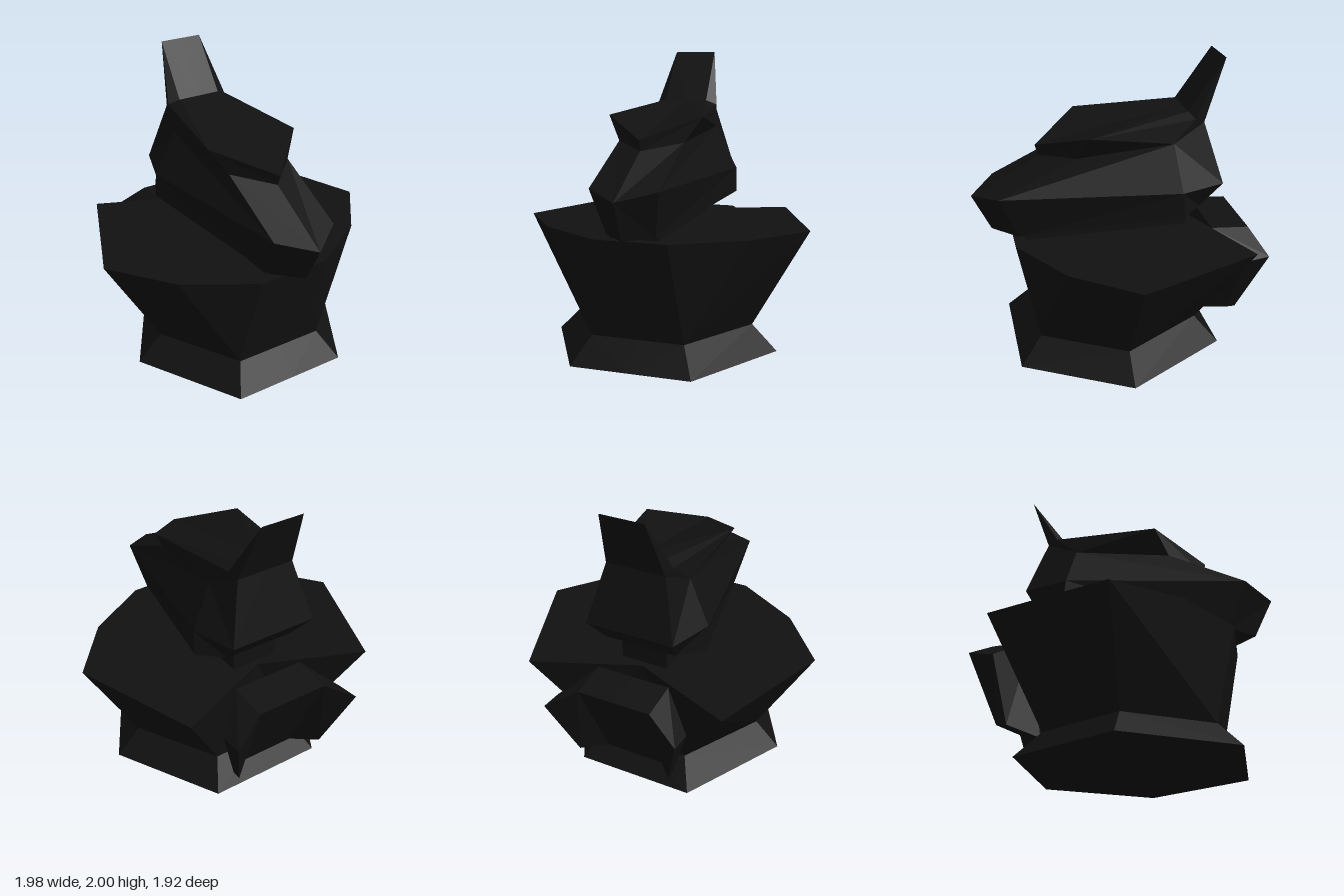
import * as THREE from 'three';

const material = new THREE.MeshStandardMaterial({ color: 0x111111, flatShading: true });

// Faceted symmetric solid: faces are listed for the +x half, mirrored to -x,
// and each one is turned to point away from the (mirrored) centre.
function solid(name, [cx, cy, cz], points, faces) {
  const pos = [];
  for (const face of faces) {
    for (const side of [1, -1]) {
      const centre = new THREE.Vector3(cx * side, cy, cz);
      const loop = face.split(' ').map((k) => {
        const [x, y, z] = points[k];
        return new THREE.Vector3(x * side, y, z);
      });
      for (let i = 1; i < loop.length - 1; i++) {
        const tri = [loop[0], loop[i], loop[i + 1]];
        const plane = new THREE.Plane().setFromCoplanarPoints(...tri);
        if (plane.distanceToPoint(centre) > 0) tri.reverse();
        tri.forEach((p) => pos.push(p.x, p.y, p.z));
      }
    }
  }
  const geometry = new THREE.BufferGeometry();
  geometry.setAttribute('position', new THREE.Float32BufferAttribute(pos, 3));
  geometry.computeVertexNormals();
  const mesh = new THREE.Mesh(geometry, material);
  mesh.name = name;
  return mesh;
}

export function createModel() {
  const model = new THREE.Group();
  model.name = 'bust';

  // Flared hexagonal base, narrow waist and wide shoulders
  model.add(solid('torso', [0, 0.25, 0.04], {
    under: [0, 0, 0.04],
    b0: [0, 0.03, 0.73], b1: [0.4, 0.03, 0.73], b2: [0.79, 0.03, 0.04],
    b3: [0.4, 0.025, -0.65], b4: [0, 0.025, -0.65],
    w0: [0, 0.2, 0.58], w1: [0.31, 0.2, 0.58], w2: [0.62, 0.2, 0.04],
    w3: [0.31, 0.2, -0.5], w4: [0, 0.2, -0.5],
    top: [0, 0.86, 0.04], chest0: [0, 0.86, 0.71], chest1: [0.24, 0.86, 0.71],
    front: [0.68, 0.86, 0.44], shoulder: [0.99, 0.86, 0.04],
    blade: [0.68, 0.86, -0.78], spine: [0, 0.86, -0.5],
  }, [
    'under b0 b1', 'under b1 b2', 'under b2 b3', 'under b3 b4',
    'b0 b1 w1 w0', 'b1 b2 w2 w1', 'b2 b3 w3 w2', 'b3 b4 w4 w3',
    'w0 w1 chest1 chest0', 'w1 front chest1', 'w1 w2 shoulder front',
    'w2 w3 blade shoulder', 'w3 spine blade', 'w3 w4 spine',
    'top chest0 chest1', 'top chest1 front', 'top front shoulder',
    'top shoulder blade', 'top blade spine',
  ]));

  // Neck block
  const neck = new THREE.Mesh(new THREE.BoxGeometry(0.32, 0.2, 1.09), material);
  neck.name = 'neck';
  neck.position.set(0, 0.94, 0.085);
  model.add(neck);

  // Helmet with pointed snout and overhanging brow
  model.add(solid('helmet', [0, 1.25, -0.1], {
    tip: [0, 1.14, 0.96], cheek: [0.22, 1.19, 0.8],
    chin: [0, 0.89, 0.84], chinSide: [0.16, 0.89, 0.68], throat: [0, 0.89, 0.63],
    bridge: [0, 1.39, 0.51], bridgeSide: [0.22, 1.43, 0.3],
    brow: [0, 1.46, 0.53], browSide: [0.32, 1.59, 0.22],
    crown: [0, 1.66, -0.45], crownSide: [0.15, 1.66, -0.45], crownEdge: [0.22, 1.63, -0.48],
    temple: [0.26, 1.49, -0.33], jaw: [0.4, 1.2, -0.36], jawLow: [0.4, 1.03, -0.38],
    rear: [0, 1.6, -0.545], rearSide: [0.2, 1.6, -0.545],
    nape: [0, 1.2, -0.66], napeSide: [0.3, 1.2, -0.66],
    hem: [0, 1.03, -0.52], hemSide: [0.25, 1.03, -0.52], floor: [0, 1.03, -0.38],
  }, [
    'tip cheek chinSide chin', 'chin chinSide throat',
    'tip cheek bridgeSide bridge', 'bridge bridgeSide browSide brow',
    'crown crownSide browSide brow', 'browSide crownSide crownEdge',
    'browSide crownEdge temple', 'browSide temple bridgeSide',
    'cheek bridgeSide temple jaw', 'cheek jaw chinSide', 'chinSide jaw jawLow',
    'throat chinSide jawLow floor', 'floor jawLow hemSide hem',
    'jaw jawLow hemSide napeSide', 'temple jaw napeSide rearSide', 'temple rearSide crownEdge',
    'rear rearSide napeSide nape', 'nape napeSide hemSide hem',
  ]));

  // Tall wedge rising from the back of the helmet
  model.add(solid('crest', [0, 1.7, -0.54], {
    f0: [0, 1.66, -0.45], f1: [0.15, 1.66, -0.45], e1: [0.22, 1.63, -0.48],
    r0: [0, 1.6, -0.545], r1: [0.2, 1.6, -0.545],
    t0: [0, 2, -0.69], t1: [0.145, 2, -0.69],
  }, ['f0 f1 t1 t0', 'f1 e1 t1', 'e1 r1 t1', 'r0 r1 t1 t0', 'f0 f1 e1 r1 r0']));

  // Backpack plate with swept-back wings
  model.add(solid('backpack', [0.25, 0.52, -0.7], {
    a0: [0, 0.85, -0.62], a1: [0.25, 0.85, -0.62], a2: [0.46, 0.68, -0.8],
    a3: [0.33, 0.255, -0.725], a4: [0.2, 0.2, -0.54], a5: [0, 0.2, -0.54],
    z0: [0, 0.83, -0.88], z1: [0.25, 0.83, -0.88], z2: [0.46, 0.7, -0.96],
    z3: [0.33, 0.255, -0.79], z4: [0.2, 0.205, -0.63], z5: [0, 0.205, -0.63],
  }, [
    'a0 a1 z1 z0', 'a1 a2 z2 z1', 'a2 a3 z3 z2', 'a3 a4 z4 z3', 'a4 a5 z5 z4',
    'z0 z1 z4 z5', 'z1 z2 z3 z4', 'a0 a1 a4 a5', 'a1 a2 a3 a4',
  ]));

  return model;
}
